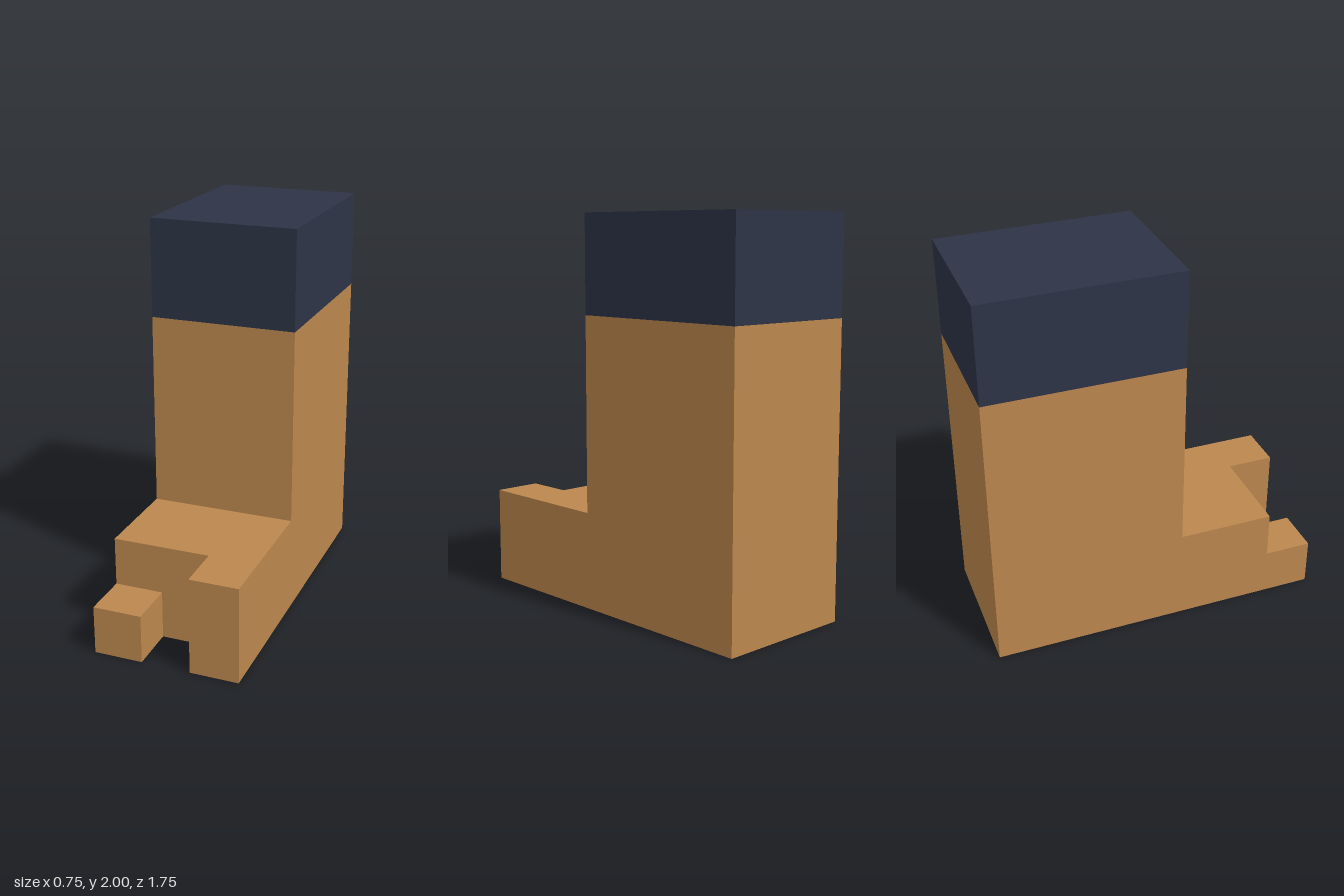
import * as THREE from 'three';

const WIDTH = 0.75;
const BACK = -0.875;
const SHIN = 0.125; // front of the leg
const FOOT = 0.625; // front of the foot, where the toes begin
const TIP = 0.875; // front of the toes

export function createModel() {
  const skin = new THREE.MeshStandardMaterial({ color: 0xbc874d });
  skin.name = 'tan skin';
  const cloth = new THREE.MeshStandardMaterial({ color: 0x2d3446 });
  cloth.name = 'navy cloth';

  const model = new THREE.Group();
  model.name = 'blockLeg';

  const add = (name, geometry, material) => {
    const mesh = new THREE.Mesh(geometry, material);
    mesh.name = name;
    model.add(mesh);
  };

  // Box given by its lower and upper corners
  const box = (name, [x0, y0, z0], [x1, y1, z1], material) => {
    const geometry = new THREE.BoxGeometry(x1 - x0, y1 - y0, z1 - z0);
    geometry.translate((x0 + x1) / 2, (y0 + y1) / 2, (z0 + z1) / 2);
    add(name, geometry, material);
  };

  // Leg and foot: one L-shaped side profile (z, y) extruded across the width
  const profile = new THREE.Shape([
    [BACK, 0], [FOOT, 0], [FOOT, 0.5], [SHIN, 0.5], [SHIN, 1.5], [BACK, 1.5],
  ].map(([z, y]) => new THREE.Vector2(z, y)));
  const legGeometry = new THREE.ExtrudeGeometry(profile, { depth: WIDTH, bevelEnabled: false });
  legGeometry.rotateY(-Math.PI / 2).translate(WIDTH / 2, 0, 0);
  add('legAndFoot', legGeometry, skin);

  // Toes: a tall one on the left, a short one on the right
  box('bigToe', [0.125, 0, FOOT], [0.375, 0.5, TIP], skin);
  box('smallToe', [-0.375, 0, FOOT], [-0.125, 0.25, TIP], skin);

  // Trouser cuff on top of the leg
  box('trouserCuff', [-0.375, 1.5, BACK], [0.375, 2, SHIN], cloth);

  return model;
}
